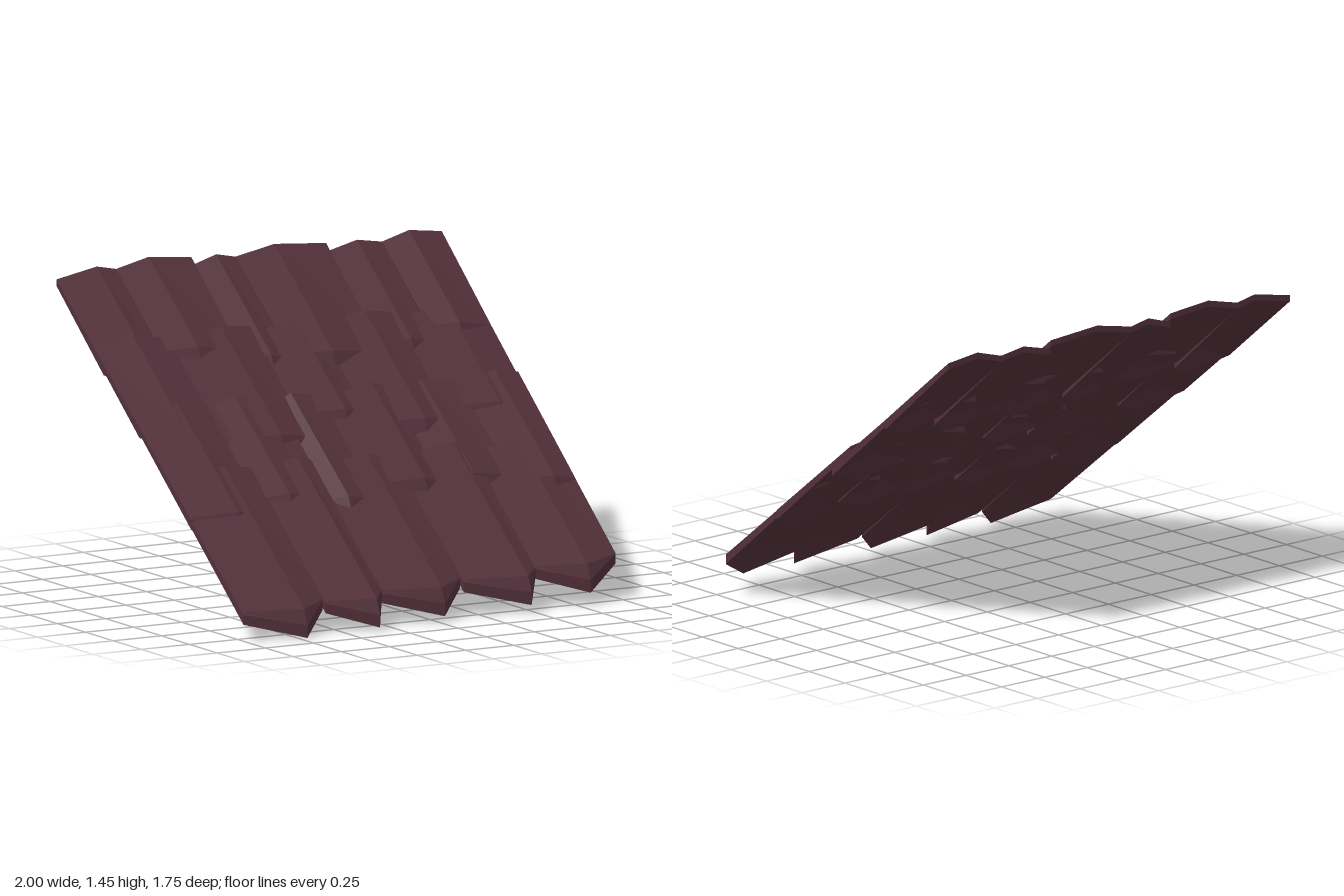
import * as THREE from 'three';

// Height of the roof plane at depth z
const plane = (z) => 0.13 + 0.767 * (0.85 - z);

// One ridged shingle: thin flat back end, thicker pointed front end with a hanging tip
function tileGeometry(x0, [x1, xr, zt, lift], { back: zBack, sink, cutL, cutR }) {
  const ring = (zL, zM, zR, d, dropR, thick) => [
    [x0, plane(zL) + d - 0.04, zL],
    [xr, plane(zM) + d, zM],
    [x1, plane(zR) + d - dropR, zR],
    [x1, plane(zR) + d - dropR - thick, zR],
    [xr, plane(zM) + d - thick, zM],
    [x0, plane(zL) + d - 0.04 - thick, zL],
  ];
  const back = ring(zBack, zBack, zBack, lift - sink, 0.02, 0.028);
  const end = ring(zt - cutL, zt - 0.03, zt - cutR, lift, 0.04, 0.045);
  // Section where the ridge starts to bend down to the tip
  const along = [0.98, 1, 0.98, 0.98, 0.84, 0.98];
  const inner = back.map((p, i) => p.map((v, k) => v + (end[i][k] - v) * along[i]));
  end[1] = [xr, plane(zt) + lift - 0.047, zt];
  end[4] = [xr, plane(zt) + lift - 0.105, zt];

  const index = [];
  const quad = (a, b, c, d) => index.push(a, b, c, a, c, d);
  for (let s = 0; s < 2; s++) {
    for (let i = 0; i < 6; i++) {
      const j = (i + 1) % 6;
      quad(s * 6 + i, s * 6 + 6 + i, s * 6 + 6 + j, s * 6 + j);
    }
  }
  quad(12, 17, 16, 13);
  quad(13, 16, 15, 14);
  quad(0, 1, 4, 5);
  quad(1, 2, 3, 4);

  const g = new THREE.BufferGeometry();
  g.setAttribute('position', new THREE.Float32BufferAttribute([back, inner, end].flat(2), 3));
  g.setIndex(index);
  const flat = g.toNonIndexed();
  flat.computeVertexNormals();
  return flat;
}

// Tiles run left to right across the panel: right edge x, ridge x, tip z, lift.
// cutL and cutR set how far the side corners lie behind the tip.
const rows = [
  { name: 'topRow', back: -0.876, sink: 0, cutL: 0.06, cutR: 0.045, tiles: [
    [-0.69, -0.79, -0.39, -0.02],
    [-0.3, -0.52, -0.4, 0],
    [-0.07, -0.17, -0.35, -0.02],
    [0.4, 0.13, -0.32, 0],
    [0.69, 0.56, -0.36, -0.02],
    [1, 0.83, -0.39, 0],
  ] },
  { name: 'upperMiddleRow', back: -0.53, sink: 0.008, cutL: 0.06, cutR: 0.05, tiles: [
    [-0.62, -0.8, -0.07, -0.01],
    [-0.19, -0.35, 0.05, 0],
    [0.15, 0.04, -0.05, -0.01],
    [0.55, 0.4, 0.04, 0],
    [1, 0.82, -0.01, -0.01],
  ] },
  { name: 'lowerMiddleRow', back: -0.19, sink: 0.008, cutL: 0.055, cutR: 0.045, tiles: [
    [-0.62, -0.77, 0.39, 0],
    [-0.26, -0.47, 0.33, 0],
    [-0.03, -0.18, 0.36, -0.01],
    [0.33, 0.24, 0.32, 0],
    [0.69, 0.5, 0.31, -0.01],
    [1, 0.88, 0.37, 0],
  ] },
  { name: 'bottomRow', back: 0.13, sink: 0.008, cutL: 0.072, cutR: 0.105, tiles: [
    [-0.57, -0.71, 0.876, 0],
    [-0.26, -0.33, 0.87, 0.008],
    [0.17, 0.03, 0.83, -0.01],
    [0.56, 0.48, 0.83, 0],
    [1, 0.81, 0.79, -0.01],
  ] },
];

export function createModel() {
  const shingle = new THREE.MeshStandardMaterial({ color: 0x52303a, flatShading: true });
  shingle.name = 'dark maroon shingle';
  const model = new THREE.Group();
  model.name = 'shingleRoofPanel';
  for (const row of rows) {
    const group = new THREE.Group();
    group.name = row.name;
    let left = -1;
    row.tiles.forEach((tile, i) => {
      const mesh = new THREE.Mesh(tileGeometry(left, tile, row), shingle);
      mesh.name = `shingle${i + 1}`;
      group.add(mesh);
      left = tile[0];
    });
    model.add(group);
  }
  return model;
}
